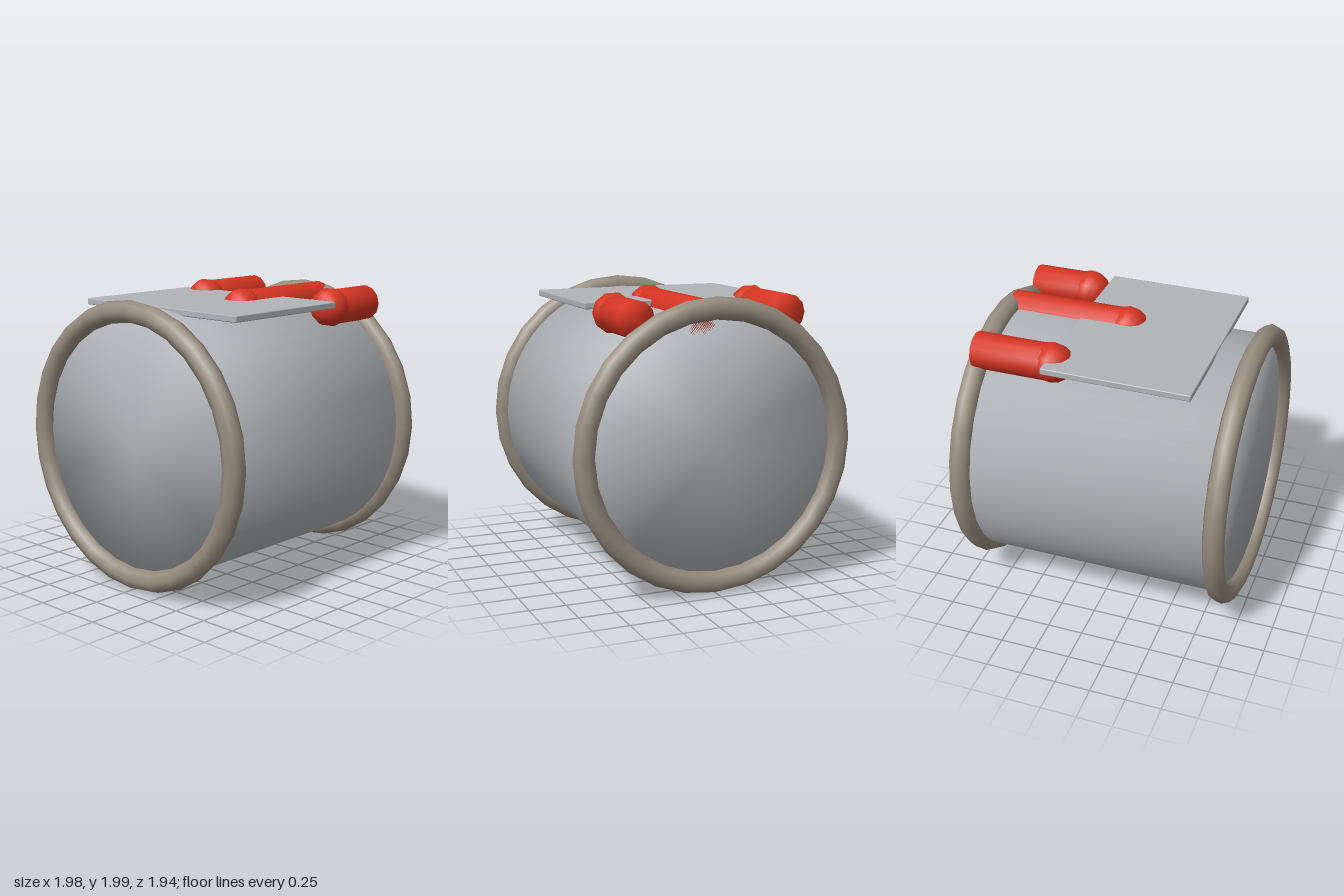
import * as THREE from 'three';
import { RoundedBoxGeometry } from 'three/addons/geometries/RoundedBoxGeometry.js';

const mat = (name, color) => {
  const m = new THREE.MeshStandardMaterial({ color });
  m.name = name;
  return m;
};

// Closed cylinder along z whose normals blend softly over the rims
function softCylinder(radius, length, sides) {
  const h = length / 2;
  const profile = [[0, -h], [radius, -h], [radius, h], [0, h]].map(p => new THREE.Vector2(...p));
  return new THREE.LatheGeometry(profile, sides).rotateX(Math.PI / 2);
}

export function createModel() {
  const group = new THREE.Group();
  const steel = mat('steel grey', 0xb0b4b8);
  const rimMat = mat('taupe rim', 0x968c7e);
  const red = mat('red', 0xd63522);

  const add = (name, geometry, material, x, y, z, parent = group) => {
    const mesh = new THREE.Mesh(geometry, material);
    mesh.name = name;
    mesh.position.set(x, y, z);
    parent.add(mesh);
    return mesh;
  };

  const axisY = 0.995;
  const endZ = 0.895;

  // Drum body lying along z
  add('drumBody', softCylinder(0.917, endZ * 2, 56), steel, 0, axisY, 0);

  // Rolled rims at both ends
  const rim = new THREE.TorusGeometry(0.917, 0.075, 8, 28);
  add('frontRim', rim, rimMat, 0, axisY, endZ);
  add('backRim', rim, rimMat, 0, axisY, -endZ);

  // Flat plate on top
  add('topPlate', new RoundedBoxGeometry(1.42, 0.045, 1.015, 2, 0.008), steel, 0, 1.9, 0.147);

  // Three rods with ball tips: x and z of each tip centre
  const ball = new THREE.SphereGeometry(0.138, 10, 8).rotateX(Math.PI / 2);
  const rods = [['right', -0.512, -0.35], ['middle', 0.125, -0.045], ['left', 0.557, -0.485]];
  for (const [side, x, z] of rods) {
    const rod = new THREE.Group();
    rod.name = side + 'Rod';
    group.add(rod);
    const length = z + endZ;
    add(side + 'Shaft', softCylinder(0.125, length, 12), red, x, 1.86, z - length / 2, rod);
    add(side + 'BallTip', ball, red, x, 1.862, z, rod);
  }
  return group;
}
